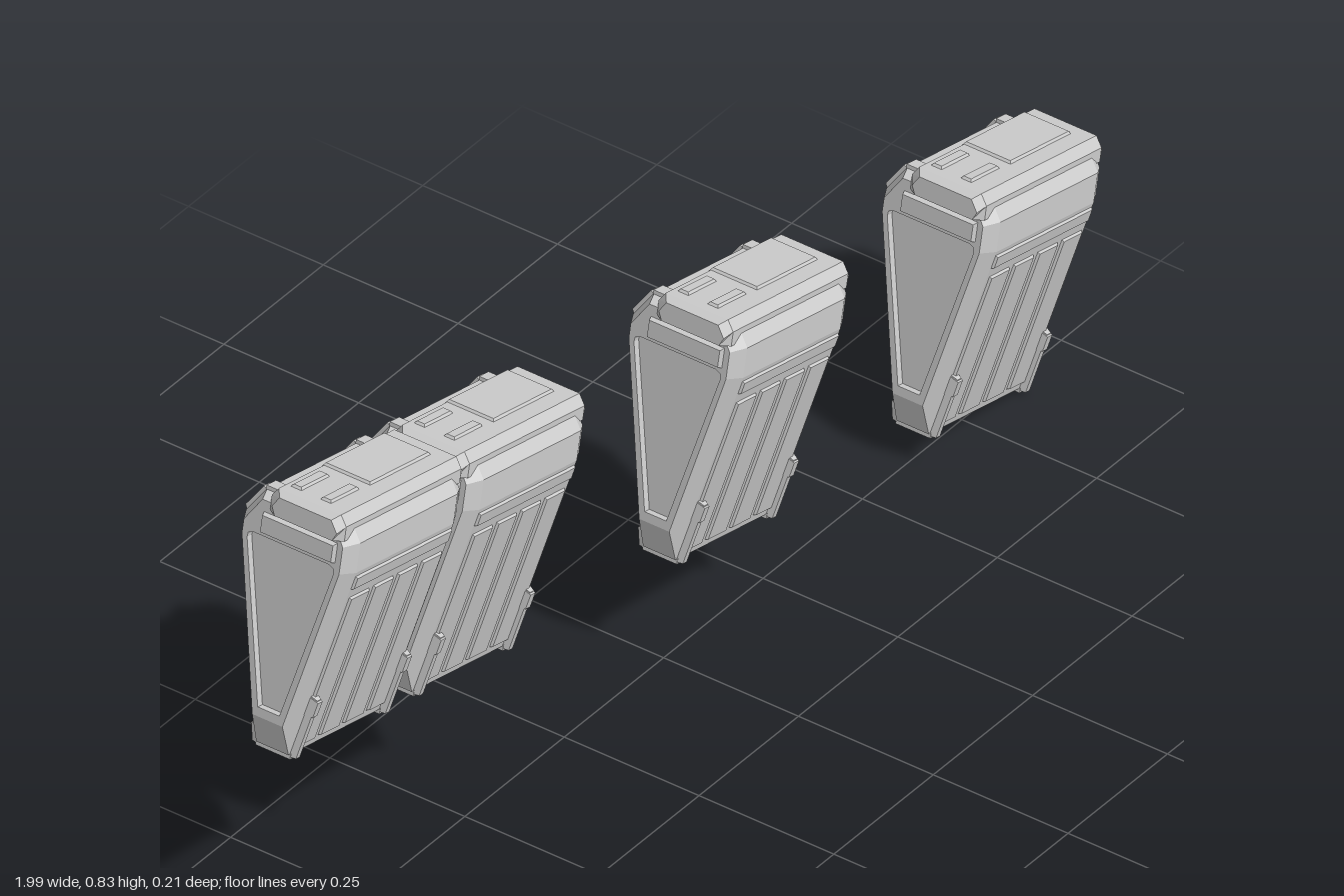
import * as THREE from 'three';

const material = new THREE.MeshStandardMaterial({ color: 0xcccccc, flatShading: true });
const TILT = 0.21;   // lean of the whole row
const SLOPE = 0.217; // taper of the front and back faces

function add(parent, name, geometry, x = 0, y = 0, z = 0) {
  const mesh = new THREE.Mesh(geometry, material);
  mesh.name = name;
  mesh.position.set(x, y, z);
  parent.add(mesh);
  return mesh;
}

// Skin a list of [x, [[z, y], ...]] rings, mirrored across x, capped at both ends.
function loft(half) {
  const rings = [...half.map(([x, p]) => [-x, p]), ...half.slice().reverse()];
  const n = half[0][1].length;
  const pos = [], index = [];
  for (const [x, points] of rings) for (const [z, y] of points) pos.push(x, y, z);
  for (let i = 0; i < rings.length - 1; i++) {
    for (let j = 0; j < n; j++) {
      const k = (j + 1) % n;
      const a = i * n + j, b = i * n + k, c = b + n, d = a + n;
      index.push(a, d, c, a, c, b);
    }
  }
  const last = (rings.length - 1) * n;
  for (let k = 1; k < n - 1; k++) index.push(0, k, k + 1, last, last + k + 1, last + k);
  const g = new THREE.BufferGeometry();
  g.setAttribute('position', new THREE.Float32BufferAttribute(pos, 3));
  g.setIndex(index);
  const flat = g.toNonIndexed();
  flat.computeVertexNormals();
  return flat;
}

// Box whose outer (+z) face is chamfered.
function plate(w, h, d, inset = 0.004) {
  const g = new THREE.BoxGeometry(w, h, d);
  const p = g.attributes.position;
  for (let i = 0; i < p.count; i++) {
    if (p.getZ(i) < 0) continue;
    p.setX(i, p.getX(i) - Math.sign(p.getX(i)) * inset);
    p.setY(i, p.getY(i) - Math.sign(p.getY(i)) * inset);
  }
  g.computeVertexNormals();
  return g;
}

// Wedge-shaped body with chamfered ends and a recessed triangular end panel.
const outer = [[0.104, -0.095], [0.104, -0.045], [0.086, -0.02], [-0.072, -0.022],
  [-0.104, -0.07], [-0.104, -0.095], [-0.03, -0.43], [0.03, -0.43]];
const rim = [[0.09, -0.095], [0.09, -0.05], [0.075, -0.026], [-0.062, -0.028],
  [-0.09, -0.072], [-0.09, -0.095], [-0.028, -0.375], [0.028, -0.375]];
const opening = [[0.08, -0.098], [0.079, -0.09], [0.07, -0.086], [-0.07, -0.086],
  [-0.079, -0.09], [-0.08, -0.098], [-0.02, -0.36], [0.02, -0.36]];
const bodyGeometry = loft([[0.138, opening], [0.15, opening], [0.15, rim], [0.125, outer]]);

// Lid with bevelled long edges and capsule-like ends.
const lidOuter = [[0.09, -0.04], [0.09, -0.016], [0.078, 0], [-0.037, 0],
  [-0.048, -0.016], [-0.048, -0.04]];
const lidEnd = [[0.076, -0.04], [0.083, -0.026], [0.07, -0.008], [-0.026, -0.008],
  [-0.037, -0.026], [-0.03, -0.04]];
const lidGeometry = loft([[0.161, lidEnd], [0.148, lidOuter]]);

function createPouch() {
  const pouch = new THREE.Group();
  pouch.name = 'pouch';
  add(pouch, 'body', bodyGeometry);
  add(pouch, 'lid', lidGeometry);

  // Raised lid panel and two slots
  const top = new THREE.Group();
  top.name = 'lidDetails';
  top.rotation.x = -Math.PI / 2;
  pouch.add(top);
  add(top, 'lidPanel', plate(0.158, 0.09, 0.006), 0.045, -0.005, 0.001);
  for (const z of [-0.019, 0.036]) add(top, 'lidSlot', plate(0.075, 0.022, 0.006), -0.093, -z, 0.001);

  // Lip under each end of the lid
  for (const s of [-1, 1]) {
    const lip = add(pouch, 'endLip', plate(0.139, 0.036, 0.012), s * 0.152, -0.063, 0.012);
    lip.rotation.y = s * Math.PI / 2;
  }

  // Front and back sloping faces
  for (const s of [-1, 1]) {
    const face = new THREE.Group();
    face.name = s > 0 ? 'frontFace' : 'backFace';
    face.rotation.set(SLOPE, s > 0 ? 0 : Math.PI, 0, 'YXZ');
    face.position.set(0, -0.2625, s * 0.067);
    pouch.add(face);
    add(face, 'band', plate(0.25, 0.028, 0.008), 0, 0.152, 0);
    for (let i = 0; i < 4; i++) {
      add(face, 'raisedPanel', plate(0.054, 0.285, 0.008), (i - 1.5) * 0.062, -0.018, 0);
    }
    // Bottom clips
    const length = s > 0 ? 0.115 : 0.035;
    for (const x of [-0.115, 0.115]) {
      add(face, 'clip', plate(0.016, length, 0.014, 0.003), x, -0.176 + length / 2, 0.004);
      if (s > 0) add(face, 'clipBuckle', plate(0.02, 0.035, 0.02), x, -0.08, 0.004);
    }
  }

  for (const x of [-0.115, 0.115]) {
    // Clip ends wrapped under the base
    add(pouch, 'clipFoot', new THREE.BoxGeometry(0.016, 0.01, 0.064), x, -0.432, 0);
    // Straps over the back shoulder
    const strap = add(pouch, 'shoulderStrap', plate(0.024, 0.058, 0.014), x, -0.046, -0.088);
    strap.rotation.set(-0.588, Math.PI, 0, 'YXZ');
    add(pouch, 'strapTab', new THREE.BoxGeometry(0.024, 0.01, 0.03), x, -0.021, -0.058);
  }
  return pouch;
}

export function createModel() {
  const model = new THREE.Group();
  model.name = 'pouchRow';
  // Two pouches side by side, then two spaced out along the slope
  for (const [x, y] of [[-0.772, 0.81], [-0.462, 0.745], [0.201, 0.6], [0.838, 0.459]]) {
    const pouch = createPouch();
    pouch.position.set(x, y, 0);
    pouch.rotation.z = -TILT;
    model.add(pouch);
  }
  return model;
}
